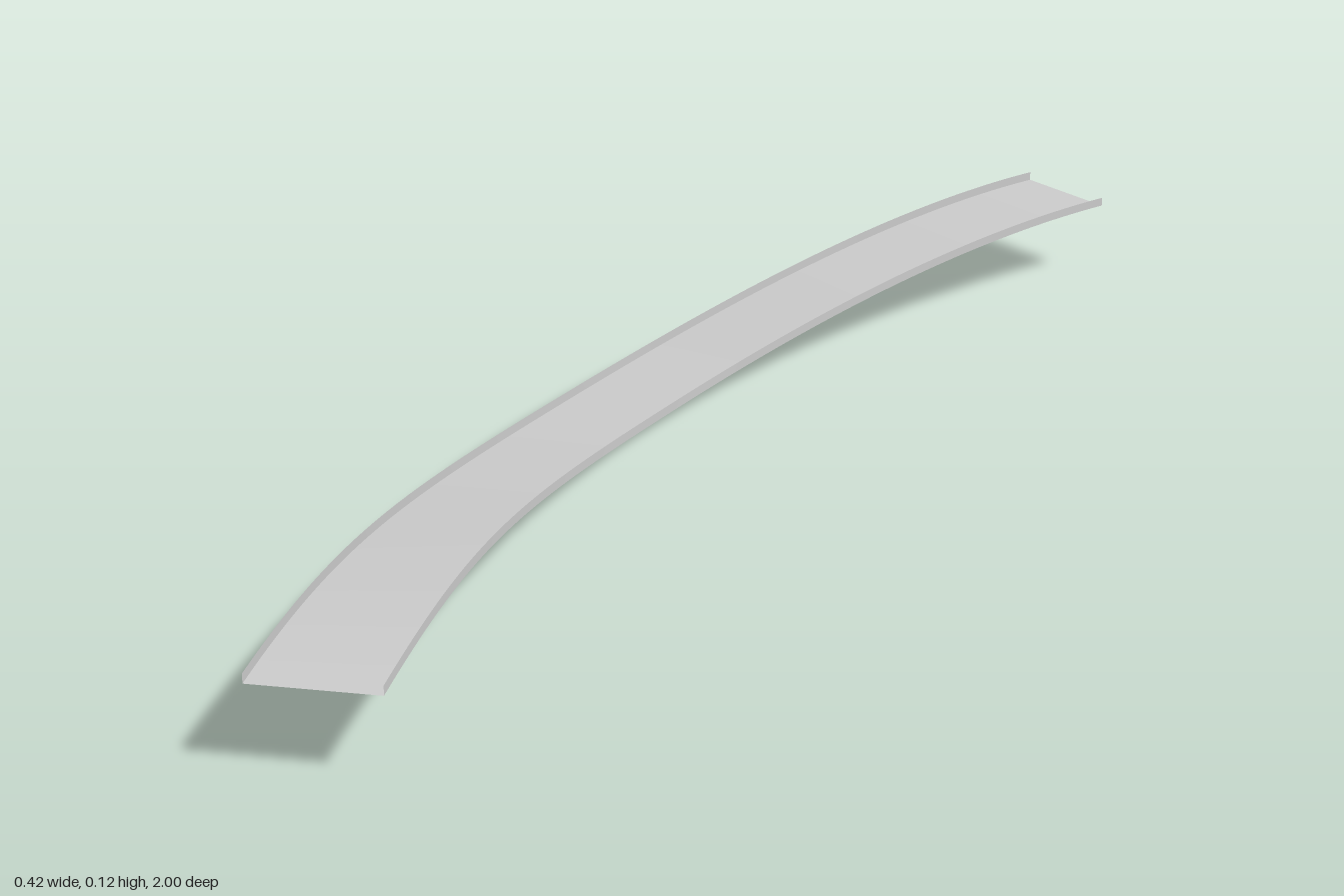
import * as THREE from 'three';

const SEGMENTS = 80;
const HALF_WIDTH = 0.0775;
const WALL_HEIGHT = 0.012;
const UP = new THREE.Vector3(0, 1, 0);

// Each half runs from the low middle of the bend to a raised, level end.
const MIDDLE = { x: -0.1325, z: -0.035 };
const FAR_END = { x: 0.135, z: -0.97, handle: 0.136 };
const NEAR_END = { x: 0.129, z: 0.972, handle: 0.147 };

// Centre line and bank of the track at u = -1 (far end) to 1 (near end)
function station(u) {
  const end = u < 0 ? FAR_END : NEAR_END;
  const t = Math.abs(u);
  const rise = t * t * (3 - 2 * t);
  const length = end.z - MIDDLE.z;
  const d = end.x - MIDDLE.x;
  const x = MIDDLE.x + 3 * end.handle * t * t * (1 - t) + d * t ** 3;
  const slope = (3 * end.handle * (2 * t - 3 * t * t) + 3 * d * t * t) / length;
  const centre = new THREE.Vector3(x, 0.005 + 0.1 * rise, MIDDLE.z + length * t);
  const side = new THREE.Vector3(1, 0, -slope).normalize();
  side.y = 0.062 * (1 - rise); // the inside of the bend is slightly higher
  return { centre, side };
}

// Sweeps an open cross-section of [across, up] points along the track
function sweep(name, profile, material) {
  const positions = [];
  const indices = [];
  const n = profile.length;
  for (let i = 0; i <= SEGMENTS; i++) {
    const { centre, side } = station((2 * i) / SEGMENTS - 1);
    for (const [across, up] of profile) {
      const p = centre.clone().addScaledVector(side, across).addScaledVector(UP, up);
      positions.push(p.x, p.y, p.z);
    }
  }
  for (let i = 0; i < SEGMENTS; i++) {
    for (let j = 0; j < n - 1; j++) {
      const a = i * n + j;
      indices.push(a, a + n, a + 1, a + 1, a + n, a + n + 1);
    }
  }
  const geometry = new THREE.BufferGeometry();
  geometry.setAttribute('position', new THREE.Float32BufferAttribute(positions, 3));
  geometry.setIndex(indices);
  geometry.computeVertexNormals();
  const mesh = new THREE.Mesh(geometry, material);
  mesh.name = name;
  return mesh;
}

export function createModel() {
  const group = new THREE.Group();
  group.name = 'curvedTrack';
  const material = new THREE.MeshStandardMaterial({ color: 0xcccccc, side: THREE.DoubleSide });

  // Road surface, split into three lanes
  const deck = [-1, -0.45, 0.45, 1].map((k) => [k * HALF_WIDTH, 0]);
  group.add(sweep('roadDeck', deck, material));

  // Low walls along both edges
  for (const [name, k] of [['outerWall', -1], ['innerWall', 1]]) {
    const edge = k * HALF_WIDTH;
    const wall = [[edge, 0], [edge, WALL_HEIGHT]];
    if (k < 0) wall.reverse();
    group.add(sweep(name, wall, material));
  }
  return group;
}
